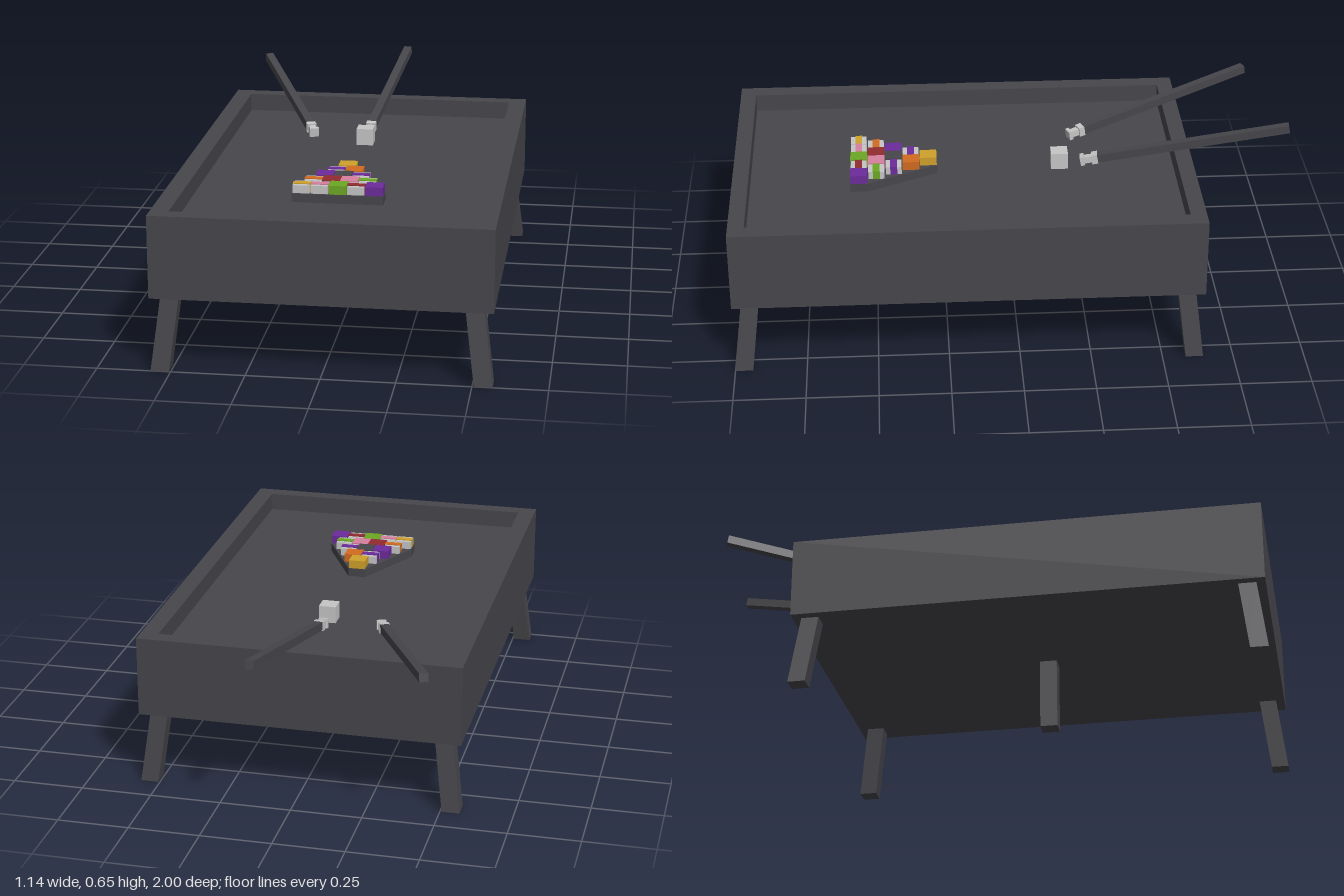
import * as THREE from 'three';

const material = (name, color) => {
  const m = new THREE.MeshStandardMaterial({ color });
  m.name = name;
  return m;
};

export function createModel() {
  const dark = material('charcoal', 0x47464b);
  const white = material('white', 0xc6c6c6);
  const yellow = material('yellow', 0xd0a22c);
  const orange = material('orange', 0xd36c20);
  const purple = material('purple', 0x6d2b9c);
  const green = material('green', 0x6ca824);
  const red = material('red', 0x922c2f);
  const pink = material('pink', 0xd77f9f);

  const model = new THREE.Group();
  model.name = 'billiardTable';
  const add = (parent, name, geometry, mat, x = 0, y = 0, z = 0) => {
    const mesh = new THREE.Mesh(geometry, mat);
    mesh.name = name;
    mesh.position.set(x, y, z);
    parent.add(mesh);
    return mesh;
  };
  const box = (w, h, d) => new THREE.BoxGeometry(w, h, d);

  const midZ = 0.178, base = 0.255, bed = 0.475, top = 0.54;

  // Rail: a rectangular ring around the sunken bed
  const halfW = 0.568, halfL = 0.822, rail = 0.063;
  const rect = (T, w, l) => new T([[-w, -l], [w, -l], [w, l], [-w, l]].map(p => new THREE.Vector2(...p)));
  const ring = rect(THREE.Shape, halfW, halfL);
  ring.holes.push(rect(THREE.Path, halfW - rail, halfL - rail + 0.006));
  const ringGeo = new THREE.ExtrudeGeometry(ring, { depth: top - base, bevelEnabled: false });
  ringGeo.rotateX(-Math.PI / 2);
  add(model, 'rail', ringGeo, dark, 0, base, midZ);
  add(model, 'bed', box(2 * (halfW - rail), bed - base, 2 * (halfL - rail + 0.006)), dark, 0, (base + bed) / 2, midZ);

  // Legs: corner legs splay outwards, the middle one is straight
  const legSize = 0.062;
  const leg = (name, x, z, leanX, leanZ) => {
    const geo = box(legSize, base, legSize).translate(0, base / 2, 0);
    const p = geo.attributes.position;
    for (let i = 0; i < p.count; i++) {
      const t = p.getY(i) / base;
      p.setX(i, p.getX(i) - leanX * t);
      p.setZ(i, p.getZ(i) - leanZ * t);
    }
    geo.computeVertexNormals();
    add(model, name, geo, dark, x, 0, z);
  };
  for (const sx of [-1, 1]) {
    for (const sz of [-1, 1]) {
      leg(sz > 0 ? 'frontLeg' : 'backLeg', sx * (halfW - legSize / 2), midZ + sz * (halfL - legSize / 2), sx * 0.033, sz * 0.031);
    }
  }
  leg('middleLeg', 0, midZ, 0, 0);

  // Cues: square shafts with a pale stepped tip, leaning over the back rail
  const cue = (name, from, to) => {
    const a = new THREE.Vector3(...from), b = new THREE.Vector3(...to);
    const length = a.distanceTo(b);
    const group = new THREE.Group();
    group.name = name;
    group.position.copy(a);
    group.lookAt(b);
    const piece = (part, size, start, end, mat) =>
      add(group, part, box(size, size, end - start), mat, 0, 0, (start + end) / 2);
    piece('tipEnd', 0.034, 0, 0.014, white);
    piece('tipNeck', 0.024, 0.014, 0.042, white);
    piece('tipCollar', 0.035, 0.042, 0.064, white);
    piece('shaft', 0.03, 0.064, length, dark);
    model.add(group);
  };
  cue('rightCue', [-0.2, 0.495, -0.22], [-0.488, 0.612, -0.912]);
  cue('leftCue', [0.0, 0.495, -0.25], [0.067, 0.638, -0.997]);

  // Cube-shaped balls; striped ones are pale with a coloured band round them
  const pitch = 0.0625, size = 0.061;
  const ball = (name, x, z, color, striped) => {
    const group = new THREE.Group();
    group.name = name;
    group.position.set(x, bed + 0.001 + size / 2, z);
    if (striped) {
      add(group, 'ballBody', box(size - 0.003, size - 0.006, size - 0.004), white);
      add(group, 'ballBand', box(size, size, 0.025), color);
    } else {
      add(group, 'ballBody', box(size, size, size), color);
    }
    model.add(group);
  };
  ball('cueBall', 0, -0.172, white, false);

  const rackZ = 0.272;
  const rows = [
    [[yellow]],
    [[purple, true], [orange]],
    [[purple], [dark], [purple, true]],
    [[orange, true], [red], [pink], [green, true]],
    [[yellow, true], [pink, true], [green], [red, true], [purple]],
  ];
  rows.forEach((row, r) => row.forEach(([color, striped], i) =>
    ball(striped ? 'stripedBall' : 'solidBall', (i - r / 2) * pitch, rackZ + (r + 0.5) * pitch, color, striped)));

  // Low triangular rack around the feet of the balls
  const h = pitch / 2, e = 0.001;
  const outline = [[-h, 0], [h, 0], [5 * h, 4 * pitch], [5 * h, 5 * pitch], [-5 * h, 5 * pitch], [-5 * h, 4 * pitch]];
  const rack = new THREE.Shape(outline.map(([x, z]) =>
    new THREE.Vector2(x + Math.sign(x) * e, -(z + (z > 5 * h ? e : -e)))));
  const rackGeo = new THREE.ExtrudeGeometry(rack, { depth: 0.031, bevelEnabled: false });
  rackGeo.rotateX(-Math.PI / 2);
  add(model, 'rack', rackGeo, dark, 0, bed, rackZ);

  return model;
}
